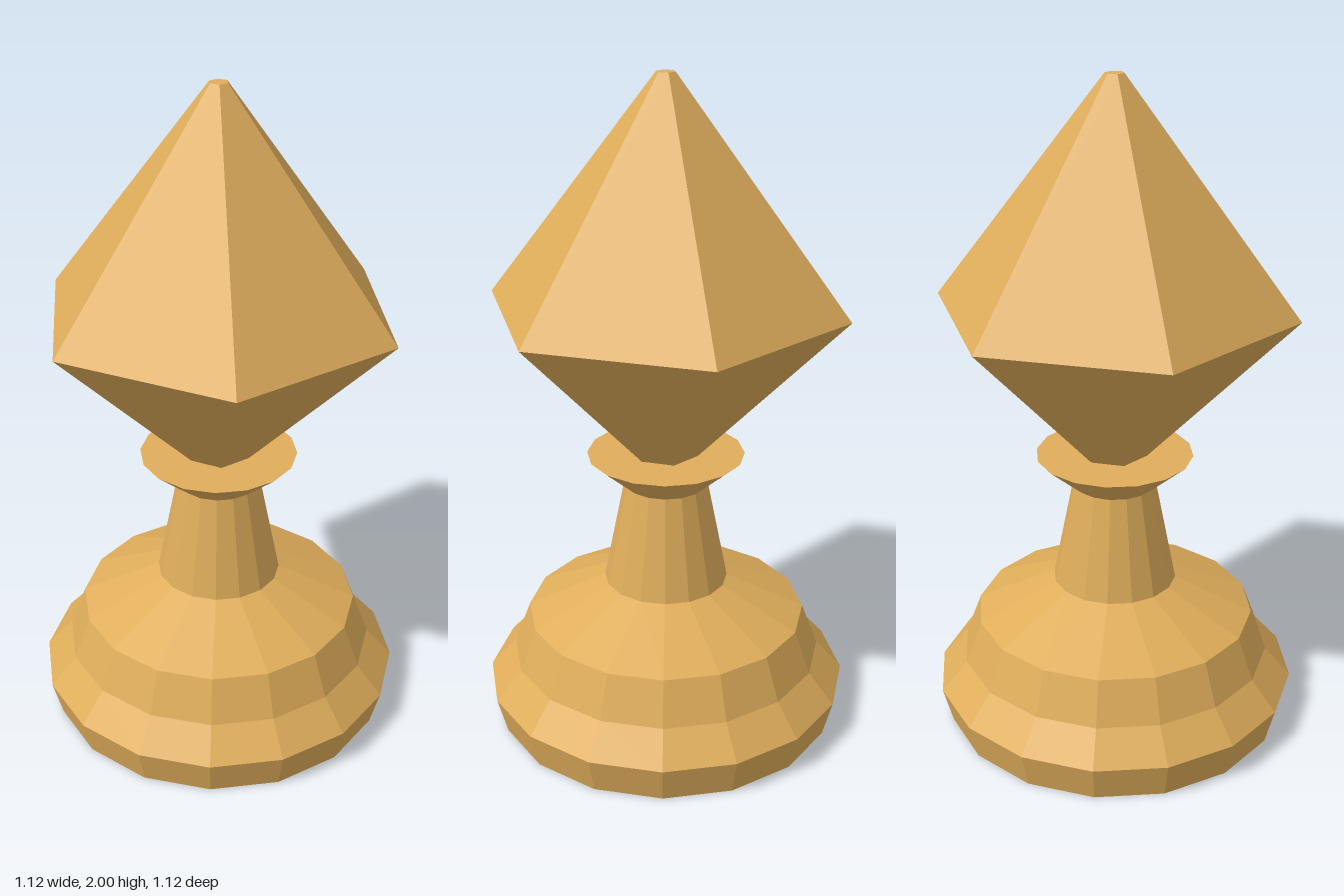
import * as THREE from 'three';

export function createModel() {
  const model = new THREE.Group();
  const wood = new THREE.MeshStandardMaterial({ color: 0xdfad5b });
  wood.name = 'warm wood';

  // Facet every face so the turned shapes stay low-poly
  const add = (name, geometry) => {
    const faceted = geometry.index ? geometry.toNonIndexed() : geometry;
    faceted.computeVertexNormals();
    const mesh = new THREE.Mesh(faceted, wood);
    mesh.name = name;
    model.add(mesh);
  };
  const turned = (name, points) =>
    add(name, new THREE.LatheGeometry(points.map(([r, y]) => new THREE.Vector2(r, y)), 16));

  // Sixteen-sided foot, stem and flared collar
  turned('foot', [[0, 0], [0.53, 0], [0.56, 0.115], [0.48, 0.207], [0.43, 0.339], [0.19, 0.45]]);
  turned('stem', [[0.19, 0.45], [0.127, 0.77]]);
  turned('collar', [[0.127, 0.77], [0.238, 0.867], [0, 0.867]]);

  // Six-sided finial with a corner on each side
  const hexFrustum = (name, rTop, rBottom, y0, y1) => {
    const g = new THREE.CylinderGeometry(rTop, rBottom, y1 - y0, 6, 1, false, Math.PI / 6);
    g.translate(0, (y0 + y1) / 2, 0);
    add(name, g);
  };
  hexFrustum('finialLower', 0.542, 0.1, 0.867, 1.33);
  hexFrustum('finialUpper', 0.028, 0.542, 1.33, 2);

  return model;
}
